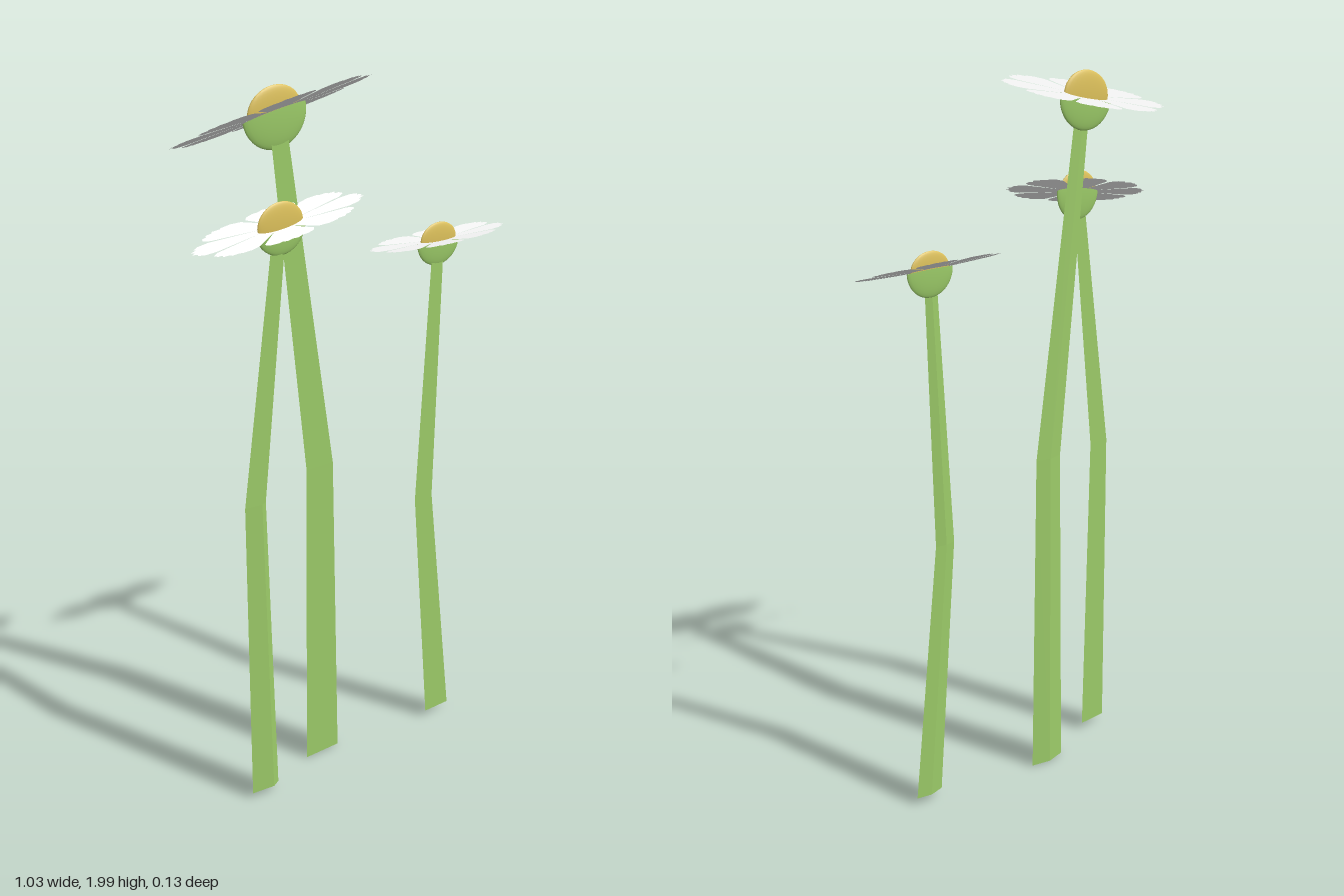
import * as THREE from 'three';

const FLAT = 0.13; // the whole bunch is pressed thin along z
const PETALS = 8;

const green = new THREE.MeshStandardMaterial({ color: 0x9ccb68 });
green.name = 'stem green';
const yellow = new THREE.MeshStandardMaterial({ color: 0xdcc05a });
yellow.name = 'centre yellow';
const white = new THREE.MeshStandardMaterial({ color: 0xf0f0f0, side: THREE.DoubleSide });
white.name = 'petal white';

function mesh(name, geometry, material) {
  const m = new THREE.Mesh(geometry, material);
  m.name = name;
  return m;
}

// Three-sided stem through rings of [x, y, z, radius]; angles run from +x towards +z
function stemGeometry(rings, startAngle) {
  const corner = ([x, y, z, r], i) => {
    const a = startAngle + (i * Math.PI * 2) / 3;
    return [x + r * Math.cos(a), y, z + r * Math.sin(a) * FLAT];
  };
  const pos = [];
  for (let k = 0; k < rings.length - 1; k++) {
    for (let i = 0; i < 3; i++) {
      const a = corner(rings[k], i), b = corner(rings[k], i + 1);
      const c = corner(rings[k + 1], i + 1), d = corner(rings[k + 1], i);
      pos.push(...a, ...d, ...c, ...a, ...c, ...b);
    }
  }
  // end caps
  const first = rings[0], last = rings[rings.length - 1];
  for (const i of [0, 1, 2]) pos.push(...corner(first, i));
  for (const i of [2, 1, 0]) pos.push(...corner(last, i));
  const g = new THREE.BufferGeometry();
  g.setAttribute('position', new THREE.Float32BufferAttribute(pos, 3));
  g.computeVertexNormals();
  return g;
}

// One broad petal with a toothed tip, lying flat and slightly cupped
function petalGeometry(radius, cup, turn) {
  const s = new THREE.Shape();
  const outline = [[0.1, -0.05], [0.45, -0.175], [0.78, -0.29], [0.9, -0.25], [0.955, -0.15],
    [0.93, -0.11], [1, -0.05], [0.96, 0.01], [0.995, 0.07], [0.94, 0.13], [0.95, 0.19],
    [0.88, 0.27], [0.76, 0.29], [0.45, 0.175], [0.1, 0.05]];
  outline.forEach(([x, y], i) => (i ? s.lineTo(x * radius, y * radius) : s.moveTo(x * radius, y * radius)));
  const g = new THREE.ShapeGeometry(s);
  g.rotateX(-Math.PI / 2);
  const p = g.attributes.position;
  for (let i = 0; i < p.count; i++) p.setY(i, cup * p.getX(i));
  g.rotateY(turn);
  g.computeVertexNormals();
  return g;
}

function flower(o) {
  const group = new THREE.Group();
  group.name = o.name;
  group.add(mesh('stem', stemGeometry(o.stem, o.angle), green));

  // tilt the head, press it thin, then lift it into place
  const place = new THREE.Matrix4().makeTranslation(...o.at)
    .multiply(new THREE.Matrix4().makeScale(1, 1, FLAT))
    .multiply(new THREE.Matrix4().makeRotationFromEuler(new THREE.Euler(o.pitch, 0, o.roll)));

  const head = new THREE.Group();
  head.name = 'flowerHead';
  const cup = new THREE.SphereGeometry(o.bulb[0], 24, 10, 0, Math.PI * 2, Math.PI / 2, Math.PI / 2);
  cup.scale(1, o.bulb[1] / o.bulb[0], 1);
  head.add(mesh('greenCup', cup.applyMatrix4(place), green));

  const dome = new THREE.SphereGeometry(o.dome[0], 24, 10, 0, Math.PI * 2, 0, Math.PI / 2);
  dome.scale(1, o.dome[1] / o.dome[0], 1);
  head.add(mesh('yellowCentre', dome.applyMatrix4(place), yellow));

  for (let i = 0; i < PETALS; i++) {
    const turn = (i * Math.PI * 2) / PETALS + o.spin;
    head.add(mesh('petal', petalGeometry(o.radius, o.cup, turn).applyMatrix4(place), white));
  }
  group.add(head);
  return group;
}

export function createModel() {
  const model = new THREE.Group();
  model.name = 'flowers';
  const backApex = Math.PI / 6;

  model.add(flower({
    name: 'tallFlower', at: [-0.22, 1.928, -0.027], radius: 0.302, cup: 0.015, spin: 0.08,
    pitch: -0.1, roll: 0.175, bulb: [0.094, 0.09], dome: [0.08, 0.066], angle: backApex,
    stem: [[-0.097, 0, -0.034, 0.066], [-0.1, 0.95, -0.026, 0.051], [-0.212, 1.88, -0.023, 0.029]],
  }));
  model.add(flower({
    name: 'middleFlower', at: [-0.25, 1.668, 0.032], radius: 0.258, cup: 0.015, spin: 0.05,
    pitch: 0.14, roll: 0.11, bulb: [0.076, 0.077], dome: [0.068, 0.058], angle: 74 * Math.PI / 180,
    stem: [[-0.337, 0.02, 0.038, 0.054], [-0.343, 0.93, 0.036, 0.04], [-0.252, 1.63, 0.032, 0.025]],
  }));
  model.add(flower({
    name: 'shortFlower', at: [0.28, 1.528, 0.006], radius: 0.236, cup: 0.035, spin: 0.02,
    pitch: 0.065, roll: -0.02, bulb: [0.073, 0.07], dome: [0.062, 0.049], angle: backApex,
    stem: [[0.303, 0.022, 0.021, 0.05], [0.237, 0.77, 0.016, 0.036], [0.276, 1.49, 0.008, 0.023]],
  }));
  return model;
}
